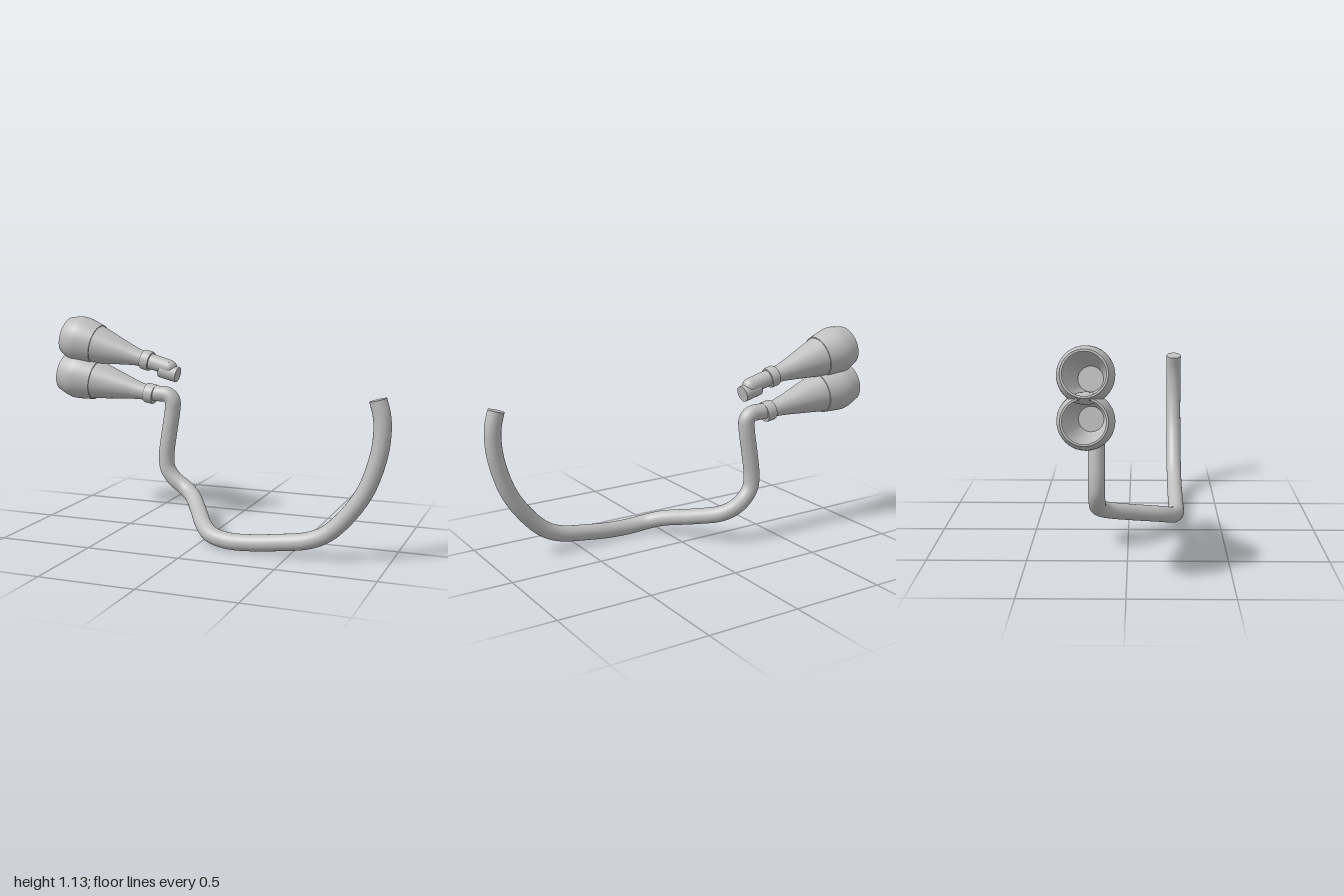
import * as THREE from 'three';

const V = (x, y, z) => new THREE.Vector3(x, y, z);
const PIPE_R = 0.043;
const metal = new THREE.MeshStandardMaterial({ color: 0xbfbfbf });
metal.name = 'grey metal';

function add(parent, name, geometry) {
  const mesh = new THREE.Mesh(geometry, metal);
  mesh.name = name;
  parent.add(mesh);
  return mesh;
}

// Flat disc closing a pipe end
function addCap(parent, name, at, direction) {
  const cap = add(parent, name, new THREE.CircleGeometry(PIPE_R, 32));
  cap.position.copy(at);
  cap.quaternion.setFromUnitVectors(V(0, 0, 1), direction.clone().normalize());
}

function addPipe(parent, name, points, segments) {
  const curve = new THREE.CatmullRomCurve3(points, false, 'centripetal');
  add(parent, name, new THREE.TubeGeometry(curve, segments, PIPE_R, 32));
  addCap(parent, name + 'StartCap', curve.getPointAt(0), curve.getTangentAt(0).negate());
  addCap(parent, name + 'EndCap', curve.getPointAt(1), curve.getTangentAt(1));
}

// Hollow silencer turned around the line from collar to mouth
function addMuffler(parent, name, from, to) {
  const group = new THREE.Group();
  group.name = name;
  const axis = to.clone().sub(from);
  const k = axis.length() / 0.51;
  group.position.copy(from);
  group.quaternion.setFromUnitVectors(V(0, 1, 0), axis.normalize());
  const sections = {
    collarBack: [[0, -0.025], [0.052, -0.025]],
    collar: [[0.052, -0.025], [0.055, -0.018], [0.055, 0.018], [0.052, 0.025]],
    collarFront: [[0.052, 0.025], [0.043, 0.025]],
    cone: [[0.043, 0.02], [0.047, 0.06], [0.06, 0.12], [0.108, 0.315]],
    step: [[0.108, 0.315], [0.113, 0.315]],
    shell: [[0.113, 0.315], [0.122, 0.36], [0.129, 0.40], [0.131, 0.425],
      [0.128, 0.447], [0.12, 0.475], [0.107, 0.51]],
    rim: [[0.107, 0.51], [0.097, 0.51]],
    innerWall: [[0.097, 0.51], [0.112, 0.475], [0.12, 0.425], [0.108, 0.34], [0.06, 0.16]],
    innerEnd: [[0.06, 0.16], [0, 0.16]],
  };
  for (const [part, profile] of Object.entries(sections)) {
    const points = profile.map(([r, s]) => new THREE.Vector2(r, s * k));
    add(group, part, new THREE.LatheGeometry(points, 48));
  }
  parent.add(group);
}

export function createModel() {
  const model = new THREE.Group();
  model.name = 'exhaustSystem';

  // Long bent pipe from the open header end to the lower muffler
  addPipe(model, 'mainPipe', [
    V(0.93, 0.815, 0.265), V(0.95, 0.74, 0.265), V(0.955, 0.66, 0.265),
    V(0.94, 0.54, 0.265), V(0.88, 0.365, 0.265), V(0.78, 0.22, 0.265),
    V(0.69, 0.135, 0.265), V(0.6, 0.093, 0.265), V(0.44, 0.066, 0.265),
    V(0.3, 0.05, 0.265), V(0.18, 0.047, 0.263), V(0.08, 0.062, 0.24),
    V(0.015, 0.087, 0.18), V(-0.09, 0.13, 0.01), V(-0.175, 0.168, -0.115),
    V(-0.235, 0.2, -0.152), V(-0.3, 0.245, -0.157), V(-0.338, 0.3, -0.158),
    V(-0.345, 0.37, -0.158), V(-0.328, 0.5, -0.158), V(-0.307, 0.635, -0.158),
    V(-0.307, 0.685, -0.158), V(-0.335, 0.713, -0.16), V(-0.38, 0.717, -0.162),
    V(-0.44, 0.718, -0.163),
  ], 260);

  // Short upper pipe with a rounded end and a cut side stub
  addPipe(model, 'upperPipe',
    [V(-0.46, 0.9, -0.163), V(-0.39, 0.883, -0.16), V(-0.325, 0.865, -0.158)], 16);
  add(model, 'upperPipeEnd', new THREE.SphereGeometry(PIPE_R, 32, 20))
    .position.set(-0.325, 0.865, -0.158);
  addPipe(model, 'upperStub',
    [V(-0.375, 0.853, -0.158), V(-0.325, 0.84, -0.158), V(-0.275, 0.828, -0.158)], 8);

  // Pair of stacked mufflers
  addMuffler(model, 'upperMuffler', V(-0.46, 0.9, -0.163), V(-0.957, 1.02, -0.182));
  addMuffler(model, 'lowerMuffler', V(-0.44, 0.715, -0.163), V(-0.982, 0.812, -0.182));

  return model;
}
